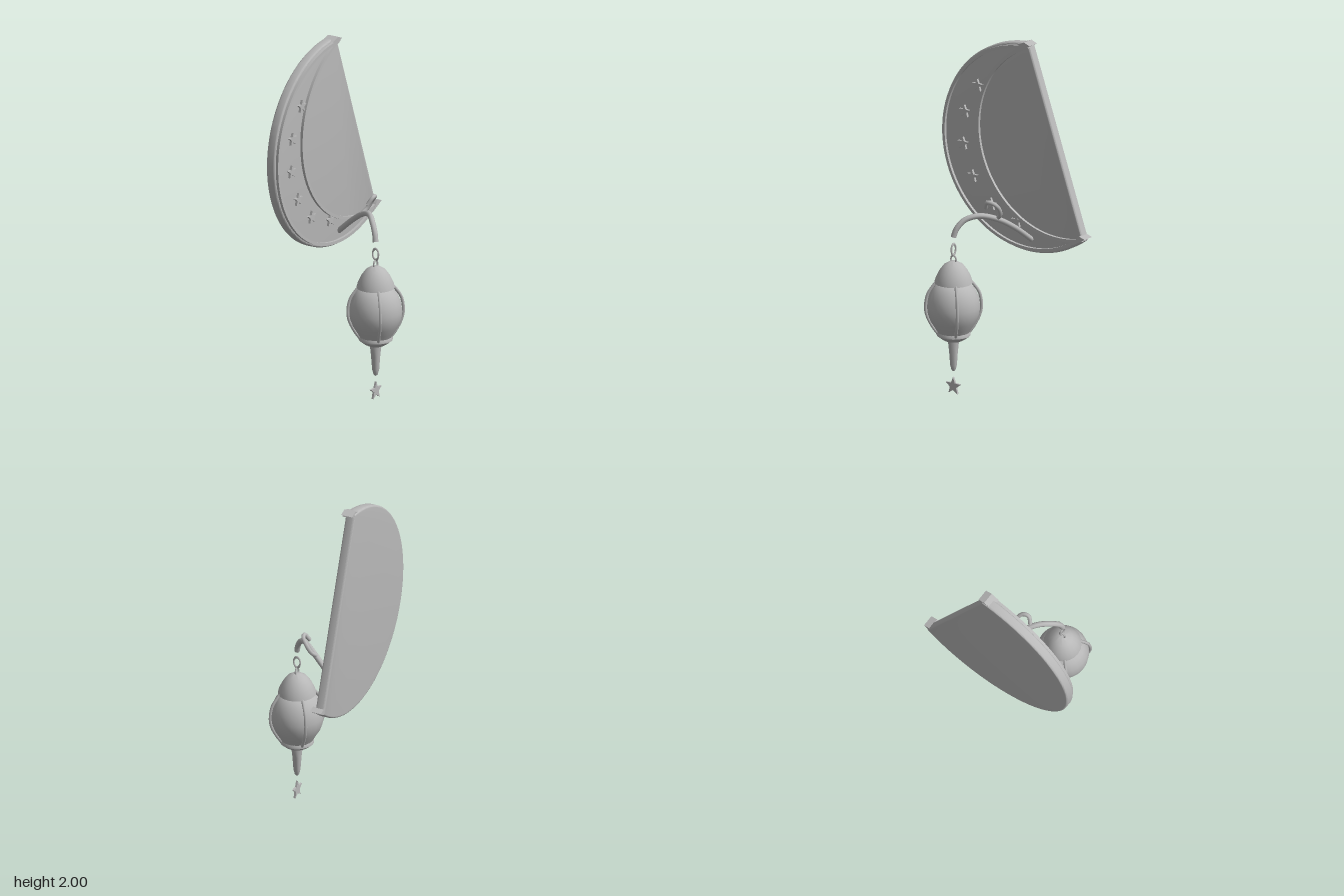
import * as THREE from 'three';
import { toCreasedNormals } from 'three/addons/utils/BufferGeometryUtils.js';

const rad = THREE.MathUtils.degToRad;
const v2 = (x, y) => new THREE.Vector2(x, y);
const v3 = (p) => new THREE.Vector3(...p);

export function createModel() {
  const model = new THREE.Group();
  const metal = new THREE.MeshStandardMaterial({ color: 0xb8b8b8 });
  metal.name = 'grey metal';

  const add = (name, geometry, parent = model) => {
    const mesh = new THREE.Mesh(geometry, metal);
    mesh.name = name;
    parent.add(mesh);
    return mesh;
  };
  const plate = (shape, z0, z1, bevel = 0) => {
    const g = new THREE.ExtrudeGeometry(shape, {
      depth: z1 - z0 - 2 * bevel, curveSegments: 64, bevelEnabled: bevel > 0,
      bevelSize: bevel, bevelThickness: bevel, bevelOffset: -bevel, bevelSegments: 3,
    });
    g.translate(0, 0, z0 + bevel);
    return toCreasedNormals(g, 0.6);
  };
  const tube = (points, radius, sides = 8, closed = false) =>
    new THREE.TubeGeometry(new THREE.CatmullRomCurve3(points.map(v3), closed), 32, radius, sides, closed);
  const starShape = (r) => {
    const points = [];
    for (let i = 0; i < 10; i++) {
      const a = Math.PI / 2 + (i * Math.PI) / 5, q = i % 2 ? r * 0.43 : r;
      points.push(v2(Math.cos(a) * q, Math.sin(a) * q));
    }
    return new THREE.Shape(points);
  };
  const arcBand = (x, y, outer, inner, a0, a1) => {
    const s = new THREE.Shape();
    s.absarc(x, y, outer, rad(a0), rad(a1), false);
    s.absarc(x, y, inner, rad(a1), rad(a0), true);
    return s;
  };

  // Moon plate with a straight side between the two horns
  const moon = new THREE.Group();
  moon.name = 'moon';
  model.add(moon);
  const disc = new THREE.Shape();
  disc.absarc(0.1, 1.38, 0.61, rad(90.5), rad(308.5), false);
  disc.closePath();
  add('moonPlate', plate(disc, -0.31, -0.254, 0.01), moon);

  // Raised trim along both crescent edges
  add('outerTrim', plate(arcBand(0.1, 1.38, 0.597, 0.58, 92, 308), -0.26, -0.238), moon);
  add('innerTrim', plate(arcBand(0.314, 1.453, 0.574, 0.556, 112, 287), -0.26, -0.238), moon);

  // Pointed horns
  const horns = [
    [[0.03, 1.98], [0.08, 1.962], [0.12, 1.985], [0.08, 2.0]],
    [[0.42, 0.875], [0.505, 0.922], [0.465, 0.935], [0.445, 0.915]],
  ];
  horns.forEach((h) =>
    add('hornTip', plate(new THREE.Shape(h.map((p) => v2(...p))), -0.305, -0.236), moon));

  // Small raised stars following the crescent
  [[-0.255, 1.68], [-0.345, 1.51], [-0.355, 1.32], [-0.29, 1.14], [-0.16, 1.0], [0.02, 0.935]]
    .forEach(([x, y]) => {
      add('moonStar', plate(starShape(0.038), -0.258, -0.24), moon).position.set(x, y, 0);
    });

  // Curved arm and its curl
  const arm = new THREE.Group();
  arm.name = 'arm';
  model.add(arm);
  const armPath = [[0.118, 0.845, -0.256], [0.085, 0.94, -0.14], [0.04, 1.005, -0.04],
    [-0.02, 1.035, 0.05], [-0.075, 1.015, 0.11], [-0.105, 0.965, 0.148], [-0.116, 0.92, 0.16]];
  add('hookArm', tube(armPath, 0.016), arm);
  const curlPath = [[0.035, 1.005, -0.045], [0.072, 1.04, -0.025], [0.082, 1.085, 0.0],
    [0.062, 1.118, 0.03], [0.03, 1.12, 0.038], [0.004, 1.08, 0.02]];
  add('armCurl', tube(curlPath, 0.012), arm);
  // End caps of the tubes
  [[armPath, 0.016], [curlPath, 0.012]].forEach(([path, r]) => {
    const n = path.length;
    const end = v3(path[n - 1]);
    const cap = add('armEnd', new THREE.CircleGeometry(r, 8), arm);
    cap.position.copy(end);
    cap.lookAt(end.clone().multiplyScalar(2).sub(v3(path[n - 2])));
  });

  // Hanging lantern
  const lantern = new THREE.Group();
  lantern.name = 'lantern';
  lantern.position.set(-0.115, 0, 0.16);
  model.add(lantern);
  const lathe = (name, profile, sides) => add(name,
    toCreasedNormals(new THREE.LatheGeometry(profile.map((p) => v2(...p)), sides), 0.7), lantern);

  // Two chain links
  const upperLink = add('upperLink', new THREE.TorusGeometry(0.02, 0.005, 6, 20), lantern);
  upperLink.scale.y = 1.6;
  upperLink.rotation.y = Math.PI / 2;
  upperLink.position.y = 0.848;
  const lowerLink = add('lowerLink', new THREE.TorusGeometry(0.018, 0.005, 6, 20), lantern);
  lowerLink.scale.y = 1.2;
  lowerLink.position.y = 0.79;

  lathe('lanternCap', [[0, 0.665], [0.095, 0.665], [0.108, 0.655], [0.1, 0.685], [0.083, 0.72],
    [0.055, 0.758], [0.022, 0.778], [0, 0.78]], 20);
  const globe = [[0, 0.35], [0.088, 0.36], [0.105, 0.39], [0.13, 0.43], [0.146, 0.475],
    [0.15, 0.515], [0.143, 0.565], [0.122, 0.615], [0.09, 0.65], [0, 0.67]];
  lathe('lanternGlobe', globe, 24);
  lathe('lanternBase', [[0, 0.312], [0.05, 0.315], [0.072, 0.328], [0.096, 0.347], [0.096, 0.358],
    [0.088, 0.376], [0, 0.376]], 20);
  lathe('lanternSpike', [[0, 0.13], [0.012, 0.14], [0.02, 0.17], [0.026, 0.25], [0.033, 0.314],
    [0, 0.316]], 10);

  // Four ribs around the globe
  for (let i = 0; i < 4; i++) {
    const a = rad(45 + 90 * i);
    const path = [[0.09, 0.36], [0.115, 0.395], [0.148, 0.46], [0.158, 0.515], [0.146, 0.59],
      [0.118, 0.635], [0.09, 0.668]].map(([r, y]) => [r * Math.cos(a), y, r * Math.sin(a)]);
    add('lanternRib', tube(path, 0.009, 6), lantern);
  }

  // Star pendant
  add('pendantStar', plate(starShape(0.053), -0.006, 0.006), lantern).position.y = 0.045;

  return model;
}
